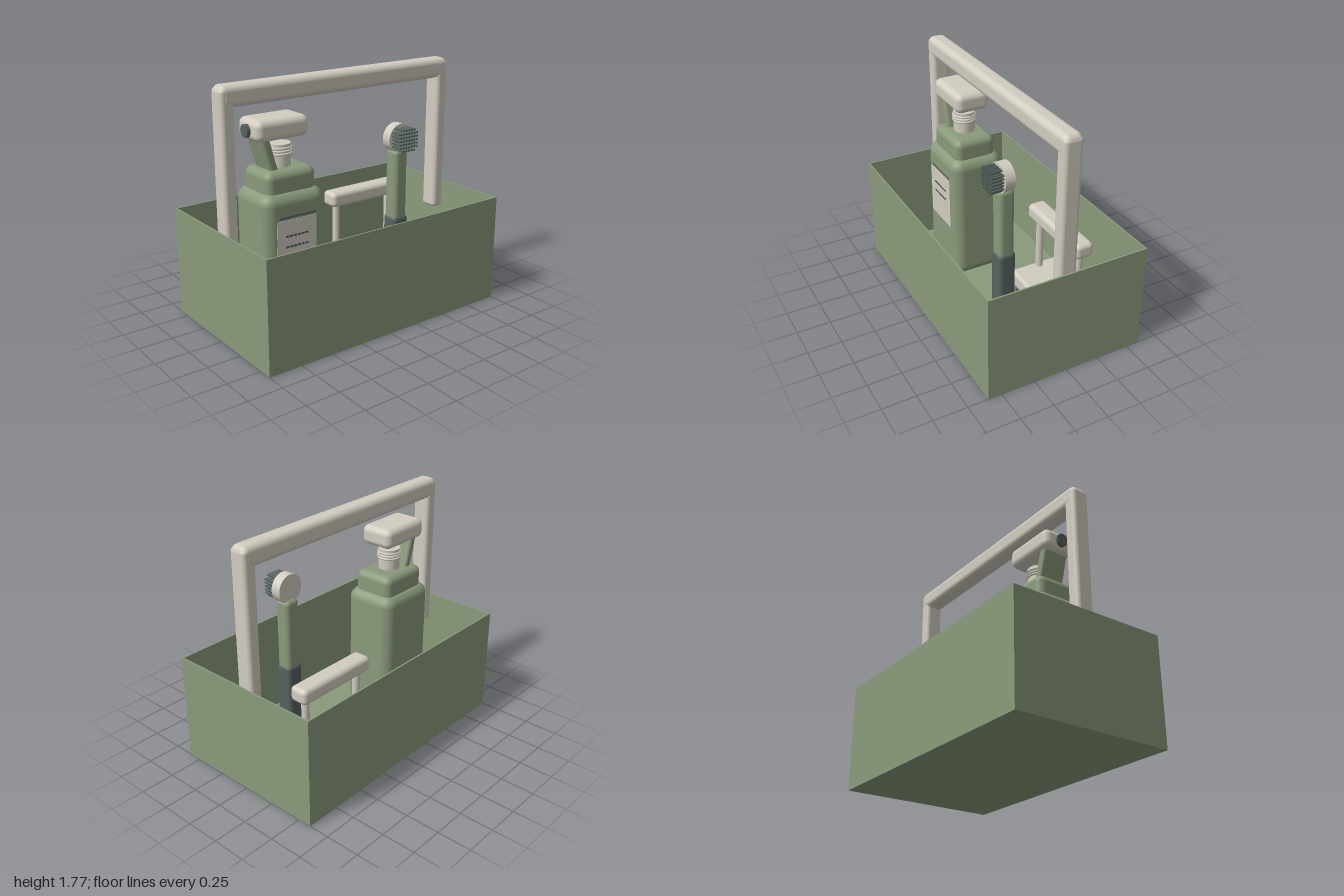
import * as THREE from 'three';
import { RoundedBoxGeometry } from 'three/addons/geometries/RoundedBoxGeometry.js';

const material = (name, color) => {
  const m = new THREE.MeshStandardMaterial({ color });
  m.name = name;
  return m;
};

export function createModel() {
  const sage = material('sage green', 0x8a9a7b);
  const cream = material('warm cream', 0xd2cdc0);
  const slate = material('dark slate', 0x56625f);

  const model = new THREE.Group();
  model.name = 'cleaningCaddy';

  const group = (name) => {
    const g = new THREE.Group();
    g.name = name;
    model.add(g);
    return g;
  };
  const add = (parent, name, geometry, mat, x, y, z) => {
    const mesh = new THREE.Mesh(geometry, mat);
    mesh.name = name;
    mesh.position.set(x, y, z);
    parent.add(mesh);
    return mesh;
  };
  // Boxes are given by their min and max corners
  const span = (parent, name, mat, [x0, y0, z0], [x1, y1, z1], radius = 0) => {
    const size = [x1 - x0, y1 - y0, z1 - z0];
    const geometry = radius
      ? new RoundedBoxGeometry(...size, 4, radius)
      : new THREE.BoxGeometry(...size);
    return add(parent, name, geometry, mat, (x0 + x1) / 2, (y0 + y1) / 2, (z0 + z1) / 2);
  };

  // Open crate
  const crate = group('crate');
  const t = 0.012;
  span(crate, 'floor', sage, [-1, 0, -0.6], [1, 0.03, 0.6]);
  for (const s of [-1, 1]) {
    const side = s < 0 ? 'right' : 'left';
    const end = s < 0 ? 'back' : 'front';
    add(crate, side + 'Wall', new THREE.BoxGeometry(t, 0.77, 1.2), sage, s * (1 - t / 2), 0.415, 0);
    add(crate, end + 'Wall', new THREE.BoxGeometry(2 - 2 * t, 0.77, t), sage, 0, 0.415, s * (0.6 - t / 2));
  }

  // Carrying handle
  const handle = group('carryHandle');
  for (const s of [-1, 1]) {
    add(handle, s < 0 ? 'rightPost' : 'leftPost',
      new RoundedBoxGeometry(0.1, 1.15, 0.135, 4, 0.03), cream, s * 0.92, 1.175, 0);
  }
  span(handle, 'topBar', cream, [-0.968, 1.62, -0.07], [0.968, 1.768, 0.07], 0.045);

  // Spray bottle
  const bottle = group('sprayBottle');
  span(bottle, 'bottleBody', sage, [-0.752, 0.03, -0.205], [-0.258, 1.035, 0.205], 0.085);
  span(bottle, 'shoulder', sage, [-0.702, 0.98, -0.16], [-0.305, 1.175, 0.16], 0.055);
  add(bottle, 'neck', new THREE.CylinderGeometry(0.08, 0.078, 0.17, 32), cream, -0.503, 1.245, 0);
  for (let i = 0; i < 3; i++) {
    const ring = add(bottle, 'neckRing', new THREE.TorusGeometry(0.08, 0.009, 8, 32), cream, -0.503, 1.262 + i * 0.02, 0);
    ring.rotation.x = Math.PI / 2;
  }
  span(bottle, 'sprayHead', cream, [-0.748, 1.375, -0.13], [-0.335, 1.522, 0.13], 0.048);
  const nozzle = add(bottle, 'nozzle', new THREE.CylinderGeometry(0.045, 0.045, 0.06, 24), slate, -0.742, 1.445, 0);
  nozzle.rotation.z = Math.PI / 2;
  const trigger = add(bottle, 'trigger', new RoundedBoxGeometry(0.062, 0.3, 0.2, 4, 0.022), sage, -0.636, 1.28, 0);
  trigger.rotation.z = 0.28;

  // Label plate with plain dashes, and the stripe above it
  span(bottle, 'labelStripe', slate, [-0.645, 0.864, 0.203], [-0.36, 0.876, 0.21]);
  span(bottle, 'label', cream, [-0.667, 0.45, 0.203], [-0.35, 0.85, 0.209]);
  for (const y of [0.73, 0.655]) {
    for (let i = 0; i < 6; i++) {
      const x = -0.6 + i * 0.031;
      span(bottle, 'labelDash', slate, [x, y, 0.207], [x + 0.024, y + 0.014, 0.212]);
    }
  }

  // Upright dish brush
  const dishBrush = group('dishBrush');
  span(dishBrush, 'grip', slate, [0.332, 0.05, 0.094], [0.468, 0.68, 0.23], 0.035);
  span(dishBrush, 'brushHandle', sage, [0.34, 0.6, 0.102], [0.46, 1.18, 0.222], 0.035);
  const head = add(dishBrush, 'brushHead', new THREE.CylinderGeometry(0.105, 0.105, 0.074, 32), cream, 0.4, 1.26, 0.165);
  head.rotation.x = Math.PI / 2;
  const bristle = new THREE.CylinderGeometry(0.008, 0.008, 0.1, 8);
  for (let i = -3; i <= 3; i++) {
    for (let j = -3; j <= 3; j++) {
      if (Math.hypot(i, j) > 3.7) continue;
      const b = add(dishBrush, 'bristle', bristle, slate, 0.4 + i * 0.025, 1.26 + j * 0.025, 0.242);
      b.rotation.x = Math.PI / 2;
    }
  }

  // Scrubbing brush: block, two posts and a grip bar
  const scrubber = group('scrubBrush');
  span(scrubber, 'scrubBlock', cream, [0.13, 0.15, -0.432], [0.725, 0.27, -0.05], 0.025);
  span(scrubber, 'scrubGrip', cream, [0.1, 0.675, -0.342], [0.76, 0.79, -0.2], 0.035);
  for (const x of [0.175, 0.685]) {
    add(scrubber, 'scrubPost', new THREE.CylinderGeometry(0.028, 0.028, 0.46, 20), cream, x, 0.48, -0.27);
  }
  const tuft = new THREE.CylinderGeometry(0.02, 0.02, 0.13, 8);
  for (let i = 0; i < 9; i++) {
    for (let j = 0; j < 5; j++) {
      add(scrubber, 'scrubTuft', tuft, slate, 0.18 + i * 0.062, 0.095, -0.39 + j * 0.075);
    }
  }

  return model;
}
